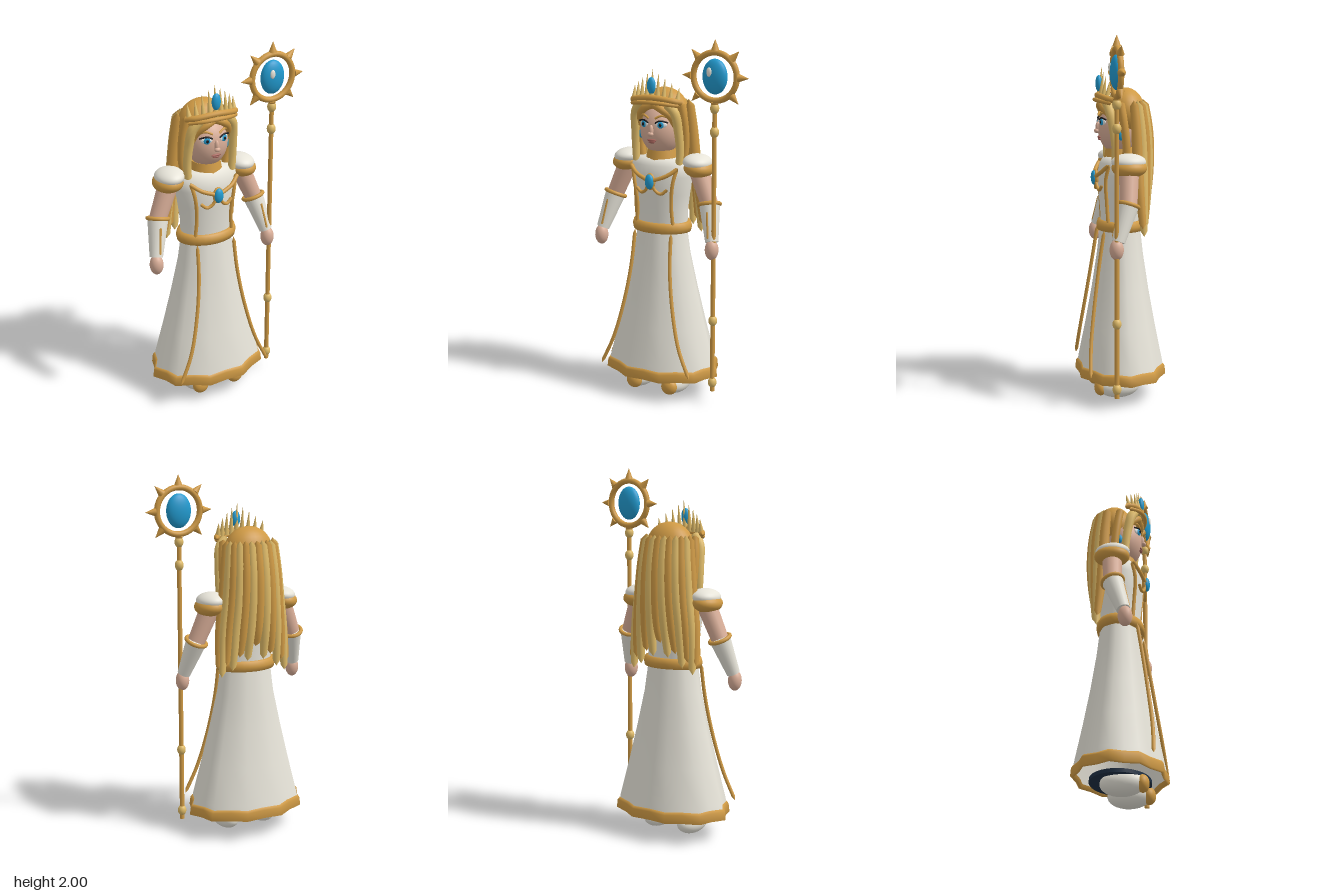
import * as THREE from 'three';

const mat = (name, color, side = THREE.FrontSide) => {
  const m = new THREE.MeshStandardMaterial({ color, side });
  m.name = name;
  return m;
};
const V = (p) => new THREE.Vector3(...p);

export function createModel() {
  const gold = mat('gold', 0xcf9a45), blonde = mat('blonde', 0xdeba68);
  const white = mat('ivory cloth', 0xe8e5da, THREE.DoubleSide), skin = mat('skin', 0xd9ae98);
  const blue = mat('blue gem', 0x229bd0), navy = mat('navy lining', 0x1f3044);
  const black = mat('lash black', 0x1c1a1c), lip = mat('lip', 0xa8655c), eyeWhite = mat('eye white', 0xf4f4f2);

  const model = new THREE.Group();
  const body = new THREE.Group();
  body.name = 'figure';
  body.position.x = -0.085;
  const staff = new THREE.Group();
  staff.name = 'staff';
  staff.position.set(0.272, 0, 0.083);
  model.add(body, staff);

  const add = (name, geo, material, parent = body) => {
    const m = new THREE.Mesh(geo, material);
    m.name = name;
    parent.add(m);
    return m;
  };
  const ball = (name, material, p, r, parent) => {
    const m = add(name, new THREE.SphereGeometry(1, 28, 18), material, parent);
    m.position.set(...p);
    m.scale.set(...r);
    return m;
  };
  // straight tapered rod from a to b
  const rod = (name, material, a, b, ra, rb, parent) => {
    const d = V(b).sub(V(a));
    const m = add(name, new THREE.CylinderGeometry(rb, ra, d.length(), 20), material, parent);
    m.position.copy(V(a)).addScaledVector(d, 0.5);
    m.quaternion.setFromUnitVectors(new THREE.Vector3(0, 1, 0), d.normalize());
    return m;
  };
  // curved tube, radius given by a rule of t, closed at both ends
  const tube = (name, material, pts, radius, n = 24) => {
    const path = new THREE.CatmullRomCurve3(pts.map(V));
    const geo = new THREE.TubeGeometry(path, n, 1, 10);
    const pos = geo.attributes.position, v = new THREE.Vector3();
    for (let i = 0; i <= n; i++) {
      const c = path.getPointAt(i / n);
      const r = i === 0 || i === n ? 0.0005 : typeof radius === 'number' ? radius : radius(i / n);
      for (let j = 0; j <= 10; j++) {
        const k = i * 11 + j;
        v.fromBufferAttribute(pos, k).sub(c).multiplyScalar(r).add(c);
        pos.setXYZ(k, v.x, v.y, v.z);
      }
    }
    return add(name, geo, material);
  };
  // elliptical rings [y, rx, rz, pleat depth] joined from bottom to top
  const loft = (rings, n) => {
    const pos = [], idx = [];
    rings.forEach(([y, rx, rz, pleat = 0], i) => {
      for (let j = 0; j < n; j++) {
        const a = (j / n) * Math.PI * 2, k = 1 - pleat * (1 + Math.cos(10 * a)) / 2;
        pos.push(Math.sin(a) * rx * k, y, Math.cos(a) * rz * k);
        if (i === rings.length - 1) continue;
        const p = i * n + j, q = i * n + ((j + 1) % n);
        idx.push(p, q, p + n, q, q + n, p + n);
      }
    });
    const g = new THREE.BufferGeometry();
    g.setAttribute('position', new THREE.Float32BufferAttribute(pos, 3));
    g.setIndex(idx);
    g.computeVertexNormals();
    return g;
  };

  // gown
  add('skirt', loft([[0.12, 0.338, 0.247, 0.08], [0.2, 0.322, 0.234, 0.08], [0.4, 0.268, 0.194, 0.07],
    [0.6, 0.217, 0.158, 0.06], [0.8, 0.17, 0.128, 0.04], [0.96, 0.147, 0.11, 0.02]], 20), white);
  add('hem', loft([[0.14, 0.32, 0.23, 0.08], [0.115, 0.33, 0.24, 0.08], [0.12, 0.347, 0.253, 0.08],
    [0.165, 0.341, 0.249, 0.08], [0.178, 0.33, 0.24, 0.08], [0.178, 0.315, 0.23, 0.08]], 20), gold);
  const lining = add('lining', new THREE.CylinderGeometry(1, 1, 0.02, 32), navy);
  lining.position.y = 0.107;
  lining.scale.set(0.215, 1, 0.16);
  add('bodice', loft([[0.95, 0.148, 0.105], [1.05, 0.15, 0.108], [1.15, 0.163, 0.118], [1.25, 0.18, 0.124],
    [1.31, 0.178, 0.108], [1.345, 0.13, 0.085], [1.35, 0.01, 0.01]], 32), white);
  add('belt', loft([[0.936, 0.14, 0.1], [0.938, 0.168, 0.125], [0.965, 0.174, 0.13], [0.992, 0.166, 0.123],
    [0.994, 0.14, 0.1]], 32), gold);
  rod('choker', gold, [0, 1.3, 0], [0, 1.39, 0], 0.098, 0.078);

  // chest brooch
  ball('broochSetting', gold, [0, 1.23, 0.135], [0.031, 0.046, 0.016]);
  ball('broochGem', blue, [0, 1.23, 0.145], [0.026, 0.041, 0.018]);

  // head and face
  ball('head', skin, [0, 1.5, 0.01], [0.115, 0.14, 0.112]);
  ball('nose', skin, [0, 1.505, 0.122], [0.013, 0.032, 0.014]);
  ball('noseTip', skin, [0, 1.487, 0.13], [0.017, 0.013, 0.014]);
  ball('upperLip', lip, [0, 1.452, 0.115], [0.028, 0.007, 0.008]);
  ball('lowerLip', lip, [0, 1.442, 0.114], [0.02, 0.007, 0.008]);
  ball('hairCap', gold, [0, 1.588, -0.032], [0.138, 0.134, 0.107]);

  // tiara
  tube('tiaraBand', gold, [[-0.152, 1.655, 0.05], [-0.115, 1.667, 0.095], [0, 1.682, 0.122],
    [0.115, 1.667, 0.095], [0.152, 1.655, 0.05]], 0.016, 32);
  tube('tiaraLowerBand', gold, [[-0.145, 1.64, 0.075], [-0.08, 1.652, 0.122], [0, 1.658, 0.138],
    [0.08, 1.652, 0.122], [0.145, 1.64, 0.075]], 0.011, 32);
  for (let i = -4; i <= 4; i++) {
    const x = i * 0.033, z = 0.115 - 2.6 * x * x, tip = 1.83 - Math.abs(i) * 0.024;
    rod('tiaraSpike', blonde, [x, 1.665, z], [x * 1.02, tip, z - 0.015], 0.016, 0.001);
  }
  ball('tiaraGem', blue, [0, 1.745, 0.117], [0.025, 0.045, 0.018]);

  // back hair, a fan of alternating strands
  for (let i = -6; i <= 6; i++) {
    const a = (i / 6) * 1.4, s = Math.sin(a), c = Math.cos(a);
    const end = 1.06 - 0.12 * Math.abs(s) + (i % 2 ? -0.03 : 0.02);
    tube('backHairStrand', i % 2 ? blonde : gold, [
      [0.14 * s, 1.655, -0.035 - 0.095 * c], [0.155 * s, 1.5, -0.045 - 0.108 * c],
      [0.17 * s, 1.34, -0.05 - 0.108 * c], [0.195 * s, 1.16, -0.06 - 0.085 * c],
      [0.21 * s, end, -0.085 - 0.035 * c]], (t) => 0.024 + 0.008 * Math.sin(t * Math.PI) - 0.006 * t * t);
  }

  // everything mirrored left and right
  for (const s of [-1, 1]) {
    const X = (pts) => pts.map(([x, y, z]) => [s * x, y, z]);
    const P = (x, y, z) => [s * x, y, z];

    // eyes
    ball('eyeWhite', eyeWhite, P(0.052, 1.538, 0.105), [0.031, 0.018, 0.008]).rotation.y = s * 0.4;
    ball('iris', blue, P(0.051, 1.537, 0.111), [0.018, 0.018, 0.006]).rotation.y = s * 0.3;
    ball('pupil', black, P(0.051, 1.537, 0.116), [0.008, 0.009, 0.004]);
    tube('upperLash', black, X([[0.02, 1.545, 0.117], [0.048, 1.559, 0.113], [0.088, 1.55, 0.092]]), 0.0045);
    tube('brow', gold, X([[0.018, 1.57, 0.116], [0.055, 1.586, 0.104], [0.09, 1.573, 0.082]]), 0.006);
    ball('earring', blue, P(0.121, 1.465, 0.015), [0.012, 0.026, 0.015]);

    // fringe and face-framing locks
    tube('fringe', gold, X([[0, 1.645, 0.1], [0.05, 1.622, 0.104], [0.093, 1.58, 0.075], [0.115, 1.52, 0.045]]), 0.021);
    tube('frontLock', blonde, X([[0.07, 1.655, 0.09], [0.118, 1.6, 0.078], [0.132, 1.5, 0.06],
      [0.136, 1.4, 0.05], [0.132, 1.31, 0.05]]), (t) => 0.028 - 0.008 * t);
    tube('sideLock', gold, X([[0.125, 1.65, 0.02], [0.138, 1.55, 0.005], [0.138, 1.42, -0.01], [0.125, 1.32, -0.01]]), 0.022);

    // bodice and skirt trims
    tube('neckTrim', gold, X([[0.145, 1.305, 0.092], [0.09, 1.265, 0.122], [0.01, 1.235, 0.14]]), 0.011);
    tube('chestScroll', gold, X([[0.012, 1.215, 0.138], [0.03, 1.18, 0.132], [0.06, 1.165, 0.126],
      [0.095, 1.19, 0.118]]), 0.009);
    tube('bodiceTrim', gold, X([[0.138, 1.31, 0.085], [0.118, 1.22, 0.1], [0.105, 1.1, 0.092], [0.112, 0.98, 0.085]]), 0.01);
    tube('skirtTrim', gold, X([[0.112, 0.945, 0.108], [0.12, 0.76, 0.137], [0.15, 0.55, 0.168],
      [0.205, 0.33, 0.198], [0.278, 0.165, 0.212]]), 0.01, 32);

    // puffed shoulder
    ball('shoulderPuff', gold, P(0.222, 1.3, -0.01), [0.082, 0.052, 0.096]).rotation.z = -s * 0.08;
    ball('shoulderCap', white, P(0.214, 1.332, -0.008), [0.078, 0.044, 0.094]).rotation.z = -s * 0.08;

    // arm, cuff and hand
    const elbow = P(0.295, 1.11, 0.008), wrist = P(0.342, 0.92, 0.072);
    rod('upperArm', skin, P(0.215, 1.3, -0.01), elbow, 0.055, 0.047);
    rod('sleeve', white, elbow, wrist, 0.057, 0.036);
    const ring = add('sleeveBand', new THREE.TorusGeometry(0.056, 0.011, 10, 28), gold);
    ring.position.set(...elbow);
    ring.quaternion.setFromUnitVectors(new THREE.Vector3(0, 0, 1), V(wrist).sub(V(elbow)).normalize());
    tube('sleeveTrim', gold, X([[0.31, 1.085, 0.068], [0.32, 1.02, 0.082], [0.332, 0.94, 0.1]]), 0.007);
    ball('hand', skin, P(0.346, 0.88, 0.082), [0.037, 0.056, 0.038]);

    // shoe
    ball('shoe', white, P(0.112, 0.066, 0.03), [0.07, 0.066, 0.118]);
    ball('toeCap', gold, P(0.112, 0.062, 0.132), [0.047, 0.046, 0.034]);
  }

  // staff
  rod('shaft', gold, [0, 0.07, 0], [0, 1.69, 0], 0.013, 0.012, staff);
  for (const y of [0.12, 0.48, 1.52, 1.645]) ball('shaftKnob', blonde, [0, y, 0], [0.024, 0.03, 0.024], staff);
  add('headRing', new THREE.TorusGeometry(0.124, 0.016, 12, 48), gold, staff).position.y = 1.81;
  for (let i = 0; i < 8; i++) {
    const a = (i * Math.PI) / 4, c = Math.cos(a), d = Math.sin(a);
    rod('ringSpike', gold, [0.134 * c, 1.81 + 0.134 * d, 0], [0.19 * c, 1.81 + 0.19 * d, 0], 0.022, 0.001, staff);
  }
  ball('staffGem', blue, [0, 1.81, 0], [0.07, 0.092, 0.036], staff);
  ball('gemGlint', white, [-0.018, 1.835, 0.033], [0.015, 0.024, 0.008], staff);

  return model;
}
